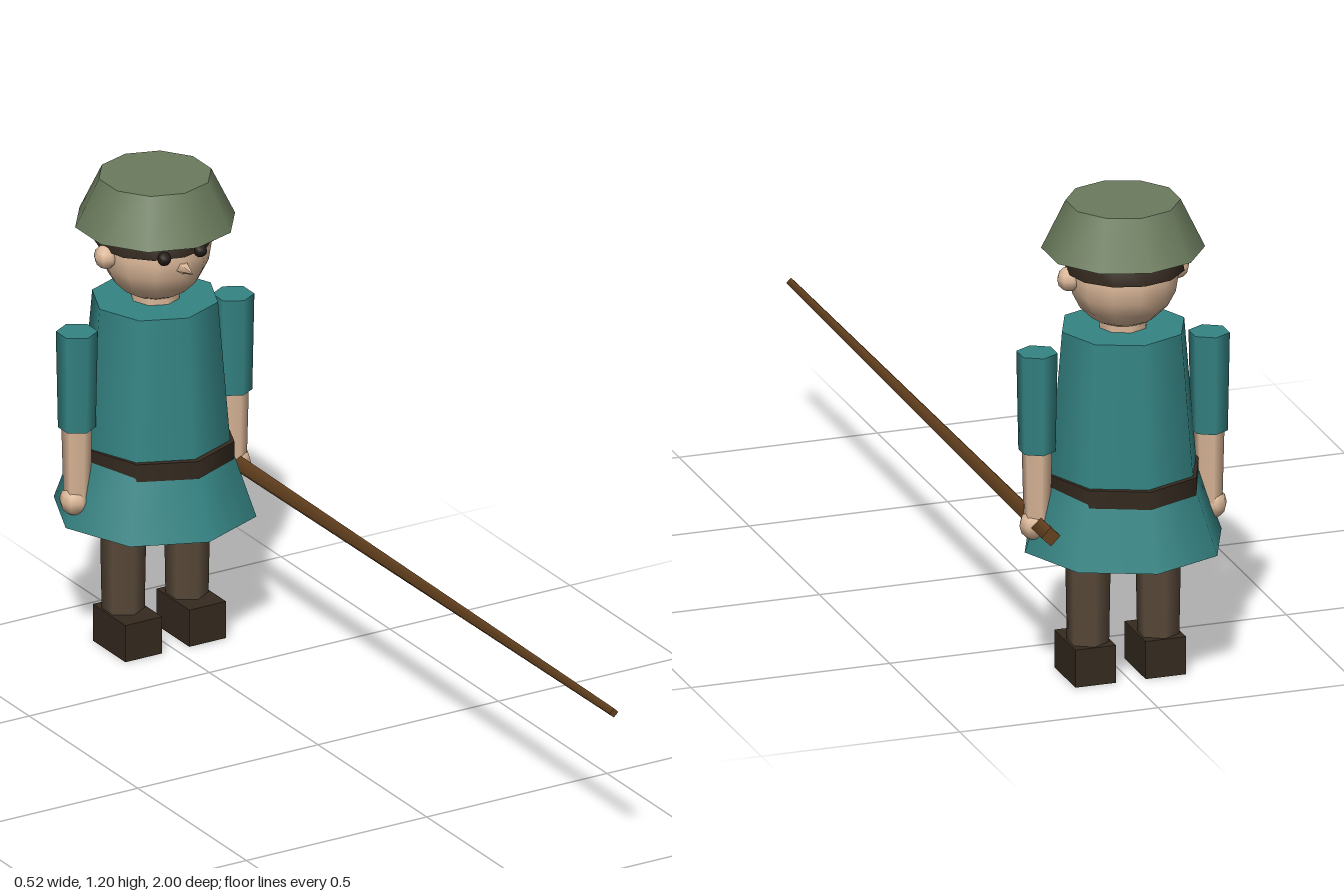
import * as THREE from 'three';

const paint = (name, color) => {
  const m = new THREE.MeshStandardMaterial({ color });
  m.name = name;
  return m;
};

export function createModel() {
  const teal = paint('teal cloth', 0x358484);
  const green = paint('hat green', 0x6b7b5d);
  const skin = paint('skin', 0xdcb899);
  const brown = paint('trouser brown', 0x5a4a3a);
  const dark = paint('dark leather', 0x352a20);
  const wood = paint('wood', 0x66421f);
  const black = paint('eye black', 0x241c16);

  const model = new THREE.Group();
  model.name = 'spearBearer';
  const figure = new THREE.Group();
  figure.name = 'figure';
  figure.position.z = -0.75;
  model.add(figure);

  const add = (name, geo, mat, x, y, z, parent = figure) => {
    const mesh = new THREE.Mesh(geo, mat);
    mesh.name = name;
    mesh.position.set(x, y, z);
    parent.add(mesh);
    return mesh;
  };
  // tapered upright tube between two heights
  const taper = (name, rTop, rBottom, y0, y1, sides, mat, x = 0) =>
    add(name, new THREE.CylinderGeometry(rTop, rBottom, y1 - y0, sides), mat, x, (y0 + y1) / 2, 0);
  const ball = (name, r, mat, x, y, z, w = 8, h = 6) =>
    add(name, new THREE.SphereGeometry(r, w, h), mat, x, y, z);

  // tunic
  taper('torso', 0.154, 0.187, 0.49, 0.883, 8, teal);
  taper('skirt', 0.187, 0.248, 0.337, 0.51, 8, teal);
  taper('belt', 0.2, 0.2, 0.483, 0.528, 8, dark).scale.x = 0.955;

  // head
  taper('neck', 0.06, 0.06, 0.86, 0.92, 8, skin);
  ball('head', 0.134, skin, 0, 1.018, 0, 12, 10);
  const hair = new THREE.SphereGeometry(0.145, 12, 5, 0, Math.PI * 2, 0, Math.PI / 2);
  const hairMesh = add('hair', hair, dark, 0, 1.033, -0.01);
  hairMesh.material.side = THREE.DoubleSide;
  taper('hat', 0.137, 0.195, 1.08, 1.2, 10, green);
  const nose = add('nose', new THREE.ConeGeometry(0.02, 0.055, 5), skin, 0, 1.004, 0.147);
  nose.rotation.x = Math.PI / 2;

  // paired parts
  for (const [side, s] of [['left', 1], ['right', -1]]) {
    ball(side + 'Eye', 0.017, black, s * 0.05, 1.037, 0.125);
    ball(side + 'Ear', 0.03, skin, s * 0.136, 1.016, 0);
    taper(side + 'Sleeve', 0.05, 0.045, 0.592, 0.84, 6, teal, s * 0.217);
    taper(side + 'Forearm', 0.037, 0.032, 0.41, 0.6, 6, skin, s * 0.217);
    ball(side + 'Hand', 0.037, skin, s * 0.224, 0.405, 0);
    taper(side + 'Leg', 0.056, 0.051, 0.08, 0.36, 6, brown, s * 0.0885);
    add(side + 'Boot', new THREE.BoxGeometry(0.102, 0.095, 0.15), dark, s * 0.0885, 0.0475, 0.02);
  }

  // long pole held in the left hand, thinner towards the front
  const pole = add('pole', new THREE.CylinderGeometry(0.012, 0.024, 1.853, 4), wood, 0.218, 0.408, 0.0735, model);
  pole.rotation.x = Math.PI / 2;

  return model;
}
